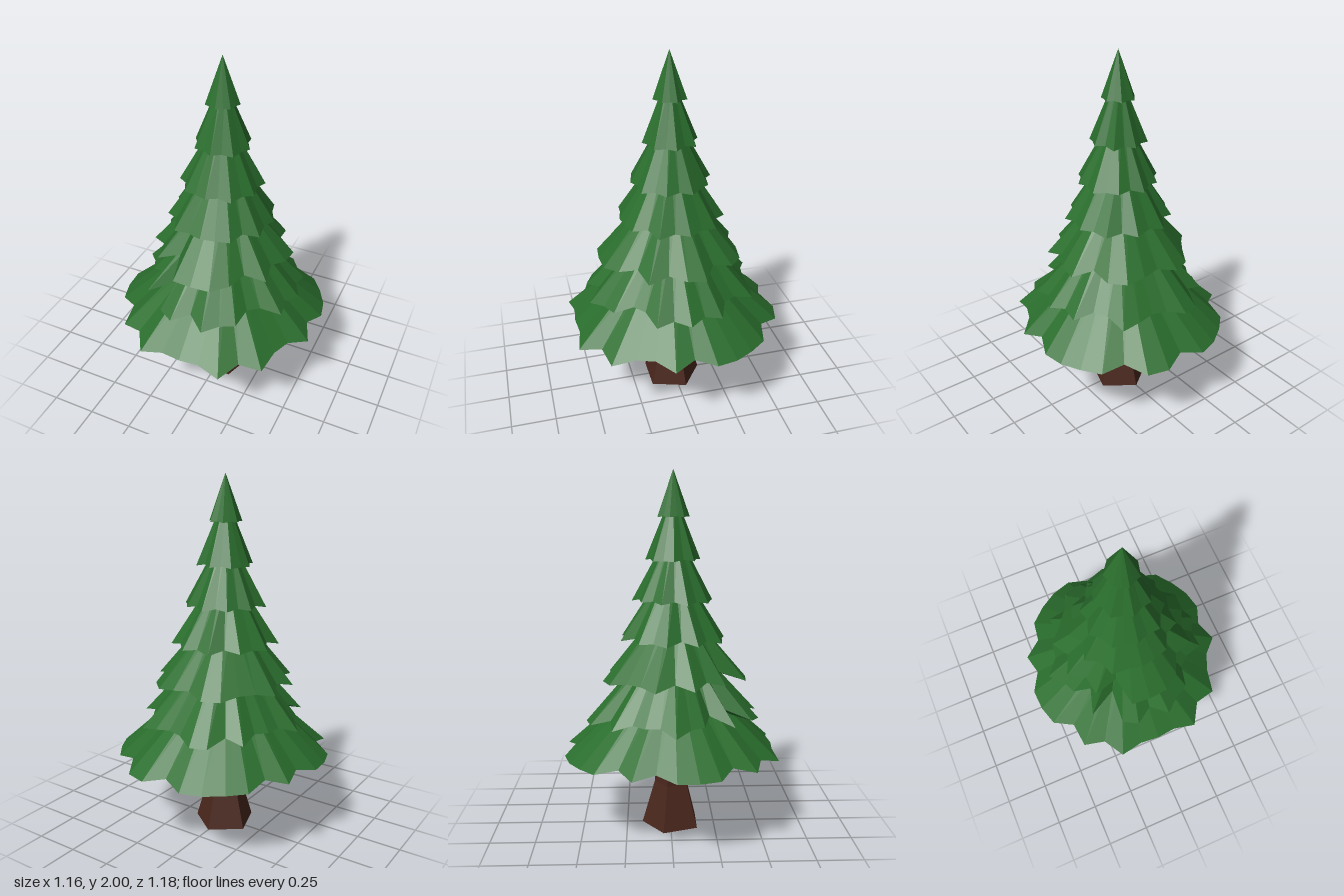
import * as THREE from 'three';

const green = new THREE.MeshStandardMaterial({ color: 0x2a6e2d, flatShading: true, side: THREE.DoubleSide });
const brown = new THREE.MeshStandardMaterial({ color: 0x4a271d, flatShading: true });

// small seeded generator for the ragged upper hems
let seed = 7;
const rnd = () => (seed = (seed * 16807) % 2147483647) / 2147483647;

// hem radii, from the front round towards +x
const hem1 = [.56, .56, .62, .55, .605, .54, .53, .59, .53, .59, .6, .6, .605, .55, .62, .617,
  .555, .615, .615, .606, .6, .533, .59, .53, .585, .59, .59, .527, .6, .55, .615, .56];
const hem2 = [.41, .49, .45, .45, .38, .39, .47, .43, .47, .43, .47, .4, .41, .49, .45, .42,
  .43, .49, .49, .41, .47, .4, .41, .4, .47, .41, .4, .33, .45, .3, .46, .48];
const hem3 = [.405, .41, .38, .33, .4, .34, .38, .4, .33, .39, .4, .37,
  .345, .4, .4, .36, .36, .4, .33, .39, .33, .38, .28, .41];

// irregular hem: long tips, shorter notches
function raggedHem(n, r) {
  return Array.from({ length: n }, (_, i) => r * (i % 2 ? 0.8 + 0.12 * rnd() : 0.92 + 0.08 * rnd()));
}

// one skirt of needles: narrow top ring, jagged hem, hollow underside
function tierGeometry(radii, y, topR, topY, underR, underY) {
  const n = radii.length;
  const max = Math.max(...radii);
  const mean = radii.reduce((a, b) => a + b) / n;
  const pos = [];
  const index = [];
  const ring = (rOf, yOf) => {
    for (let i = 0; i < n; i++) {
      const a = (i / n) * Math.PI * 2;
      pos.push(Math.sin(a) * rOf(i), yOf(i), Math.cos(a) * rOf(i));
    }
  };
  ring(() => underR, () => underY);
  ring(i => radii[i], i => y + (max - radii[i]) * 0.45);
  ring(i => topR * (0.6 + 0.4 * radii[i] / mean), () => topY);
  for (let k = 0; k < 2; k++) {
    for (let i = 0; i < n; i++) {
      const j = (i + 1) % n;
      const a = k * n + i, b = k * n + j, c = a + n, d = b + n;
      index.push(a, b, d, a, d, c);
    }
  }
  const g = new THREE.BufferGeometry();
  g.setAttribute('position', new THREE.Float32BufferAttribute(pos, 3));
  g.setIndex(index);
  const flat = g.toNonIndexed();
  flat.computeVertexNormals();
  return flat;
}

export function createModel() {
  const tree = new THREE.Group();
  tree.name = 'pineTree';

  // five-sided trunk with a flared foot
  const profile = [[0, 0], [0.172, 0], [0.1, 0.25], [0.088, 0.5], [0.08, 0.64], [0, 0.64]]
    .map(p => new THREE.Vector2(...p));
  const trunkGeo = new THREE.LatheGeometry(profile, 5, Math.PI / 5).toNonIndexed();
  trunkGeo.computeVertexNormals();
  const trunk = new THREE.Mesh(trunkGeo, brown);
  trunk.name = 'trunk';
  trunk.position.z = 0.01;
  tree.add(trunk);

  // branch tiers from the ground up: hem radii, hem height, top radius, top height
  const tiers = [
    [hem1, 0.45, 0.2, 0.82],
    [hem2, 0.65, 0.16, 1.0],
    [hem3, 0.87, 0.12, 1.2],
    [raggedHem(22, 0.305), 1.09, 0.08, 1.42],
    [raggedHem(20, 0.23), 1.3, 0.05, 1.62],
    [raggedHem(16, 0.16), 1.52, 0.03, 1.82],
    [raggedHem(14, 0.094), 1.75, 0, 2],
  ];
  tiers.forEach(([radii, y, topR, topY], k) => {
    const underR = k === 0 ? 0.07 : 0.36 * Math.max(...radii);
    const underY = k === 0 ? 0.6 : y + 0.08;
    const tier = new THREE.Mesh(tierGeometry(radii, y, topR, topY, underR, underY), green);
    tier.name = `branchTier${k + 1}`;
    tier.position.z = 0.015;
    tree.add(tier);
  });

  return tree;
}
